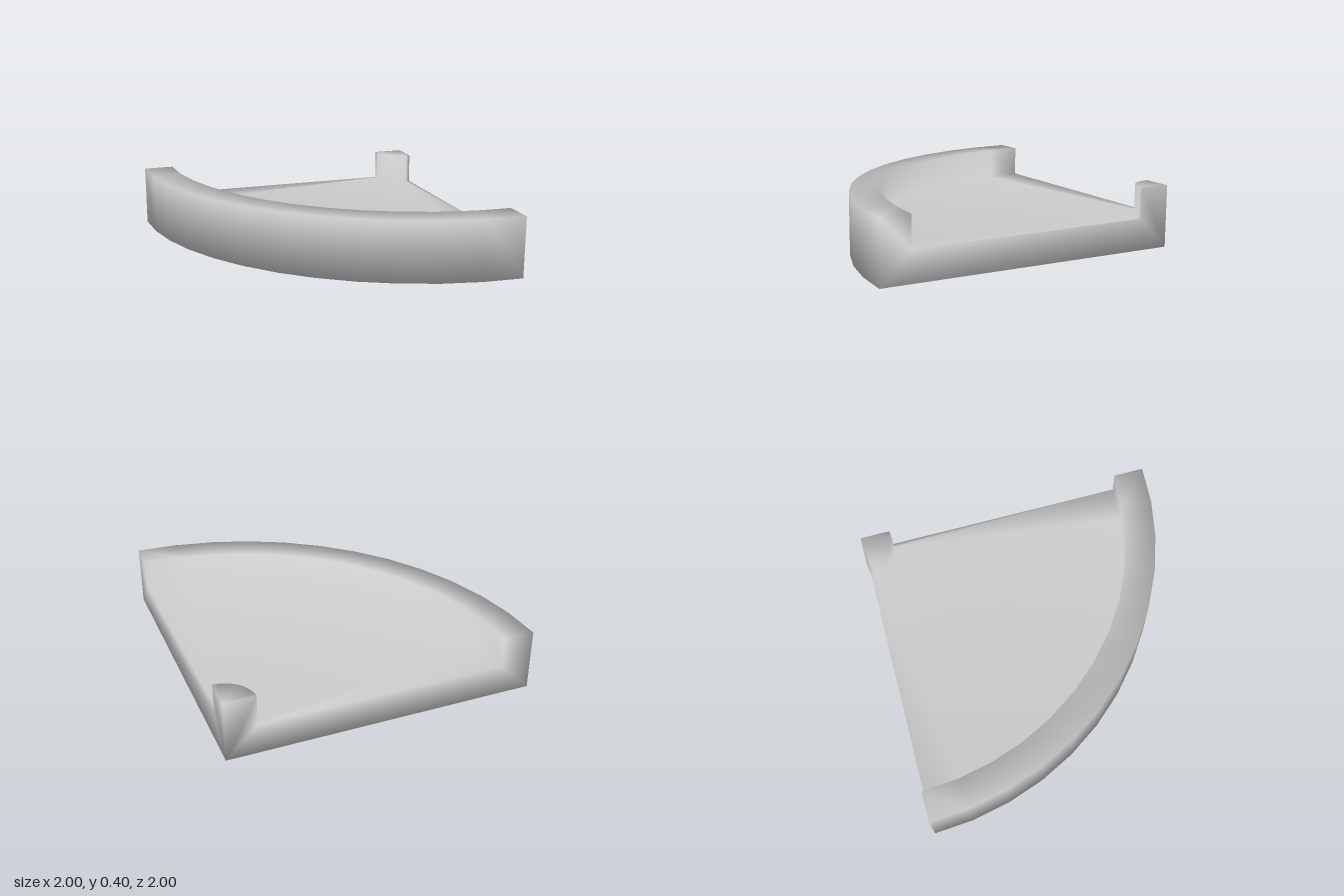
import * as THREE from 'three';
import { mergeGeometries, mergeVertices } from 'three/addons/utils/BufferGeometryUtils.js';

const RADIUS = 2, WALL = 0.2, FLOOR = 0.2, HEIGHT = 0.4, SEGMENTS = 12;

// Radial section [r, y]: underside, outer rim wall, sunken floor, corner post
const section = [
  [0, 0], [RADIUS, 0], [RADIUS, HEIGHT], [RADIUS - WALL, HEIGHT],
  [RADIUS - WALL, FLOOR], [WALL, FLOOR], [WALL, HEIGHT], [0, HEIGHT],
].map(([r, y]) => new THREE.Vector2(r, y));

// Flat end face of the quarter sweep
function endFace(mirror, angle) {
  const shape = new THREE.Shape(section.map(p => new THREE.Vector2(p.x * mirror, p.y)));
  return new THREE.ShapeGeometry(shape).rotateY(angle);
}

export function createModel() {
  const group = new THREE.Group();
  group.name = 'quarterRoundTray';

  // Quarter sweep closed by its two straight sides
  const parts = [
    new THREE.LatheGeometry(section, SEGMENTS, -Math.PI / 2, Math.PI / 2),
    endFace(-1, Math.PI / 2),
    endFace(1, Math.PI),
  ];
  for (const g of parts) {
    g.deleteAttribute('normal');
    g.deleteAttribute('uv');
  }

  // Weld corners so the shading rolls softly over the edges
  const geometry = mergeVertices(mergeGeometries(parts), 1e-4);
  geometry.computeVertexNormals();
  geometry.translate(1, 0, -1);

  const tray = new THREE.Mesh(geometry, new THREE.MeshStandardMaterial({ color: 0xcccccc }));
  tray.name = 'trayWithRimAndCornerPost';
  group.add(tray);
  return group;
}
